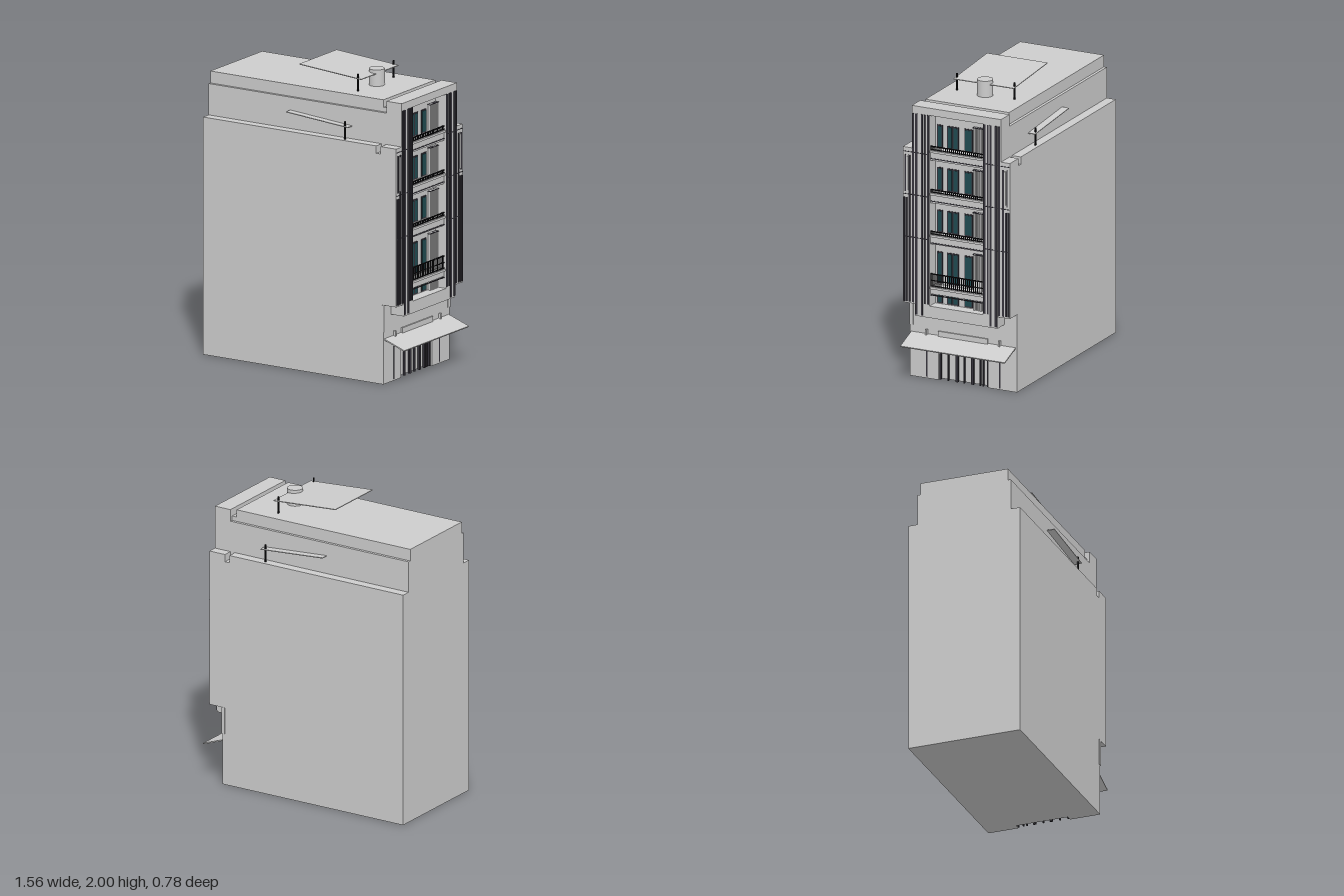
import * as THREE from 'three';

const mat = (name, color) => Object.assign(new THREE.MeshStandardMaterial({ color }), { name });

export function createModel() {
  const concrete = mat('concrete', 0xcccccc);
  const strip = mat('dark strip', 0x35333b);
  const black = mat('black metal', 0x101012);
  const glass = mat('teal glass', 0x1f4a50);
  const model = new THREE.Group();
  model.name = 'building';

  // Box given by its limits on each axis
  const box = (name, m, x0, x1, y0, y1, z0, z1, parent = model) => {
    const mesh = new THREE.Mesh(new THREE.BoxGeometry(x1 - x0, y1 - y0, z1 - z0), m);
    mesh.position.set((x0 + x1) / 2, (y0 + y1) / 2, (z0 + z1) / 2);
    mesh.name = name;
    parent.add(mesh);
    return mesh;
  };
  // The same box on both sides of the centre line
  const pair = (name, m, x0, x1, y0, y1, z0, z1) => {
    box(name, m, x0, x1, y0, y1, z0, z1);
    box(name, m, x0, x1, y0, y1, -z1, -z0);
  };
  // Thin sheet sloping along x between two heights
  const sheet = (name, xa, ya, xb, yb, z0, z1, t = 0.006) => {
    const mesh = box(name, concrete, -Math.hypot(xb - xa, yb - ya) / 2, Math.hypot(xb - xa, yb - ya) / 2, -t / 2, t / 2, z0, z1);
    mesh.position.set((xa + xb) / 2, (ya + yb) / 2, (z0 + z1) / 2);
    mesh.rotation.z = Math.atan2(yb - ya, xb - xa);
  };

  // Main volumes
  box('groundStorey', concrete, -0.78, 0.58, 0, 0.53, -0.39, 0.39);
  box('mainBody', concrete, -0.78, 0.565, 0.53, 1.59, -0.39, 0.39);
  box('jointBody', concrete, 0.565, 0.6, 0.53, 1.54, -0.39, 0.39);
  box('frontBody', concrete, 0.6, 0.64, 0.53, 1.59, -0.39, 0.39);
  box('upperBody', concrete, -0.78, 0.6, 1.54, 1.8, -0.325, 0.325);
  box('upperFront', concrete, 0.6, 0.64, 1.59, 1.88, -0.325, 0.325);
  box('roofCap', concrete, -0.78, 0.565, 1.8, 1.88, -0.305, 0.305);
  box('roofJoint', concrete, 0.565, 0.6, 1.8, 1.83, -0.305, 0.305);
  box('parapet', concrete, 0.64, 0.72, 1.83, 1.88, -0.325, 0.325);

  // Facade piers either side of the balconies
  pair('innerPier', concrete, 0.64, 0.72, 0.53, 1.83, 0.195, 0.325);
  pair('outerPier', concrete, 0.64, 0.72, 0.53, 1.59, 0.325, 0.39);
  box('facadeBase', concrete, 0.62, 0.72, 0.45, 0.53, -0.3, 0.3);
  pair('sideBracket', concrete, 0.6, 0.625, 0.35, 0.53, 0.365, 0.392);

  // Dark vertical strips: centre z, half width, bottom, top
  const strips = [
    [0.205, 0.008, 0.54, 1.83], [0.23, 0.005, 0.54, 1.83], [0.25, 0.007, 0.46, 1.83],
    [0.29, 0.008, 0.46, 1.83], [0.313, 0.006, 0.54, 1.83], [0.342, 0.006, 0.54, 1.54],
    [0.362, 0.005, 0.54, 1.25], [0.38, 0.006, 0.54, 1.25], [0.37, 0.004, 1.29, 1.54],
  ];
  for (const [z, w, y0, y1] of strips) pair('verticalStrip', strip, 0.718, 0.725, y0, y1, z - w, z + w);
  for (const y of [0.98, 1.27, 1.56]) pair('jointLine', strip, 0.718, 0.723, y, y + 0.004, 0.2, 0.388);
  pair('reliefPanel', concrete, 0.72, 0.726, 1.3, 1.53, 0.35, 0.362);

  // Balcony storeys: floor, window bottom, window top, rail top, ceiling
  const storeys = [
    [0.53, 0.535, 0.6, 0, 0.61],
    [0.66, 0.67, 0.885, 0.75, 0.95],
    [1.015, 1.02, 1.17, 1.04, 1.23],
    [1.3, 1.305, 1.46, 1.325, 1.52],
    [1.59, 1.595, 1.75, 1.62, 1.83],
  ];
  storeys.forEach(([floor, wy0, wy1, rail, top], i) => {
    if (i > 0) {
      box('balconySlab', concrete, 0.64, 0.705, storeys[i - 1][4], floor - 0.015, -0.195, 0.195);
      box('slabEdge', concrete, 0.64, 0.715, floor - 0.015, floor, -0.195, 0.195);
      box('slabShadowLine', strip, 0.7, 0.708, floor - 0.06, floor - 0.054, -0.195, 0.195);
    }
    // Windows with dark frames
    for (const [za, zb] of [[0.14, 0.178], [0.022, 0.106], [-0.08, -0.02]]) {
      box('windowFrame', strip, 0.638, 0.645, wy0, wy1, za, zb);
      const panes = zb - za > 0.07 ? 2 : 1;
      const step = (zb - za) / panes;
      for (let p = 0; p < panes; p++) {
        box('windowPane', glass, 0.642, 0.648, wy0 + 0.008, wy1 - 0.008, za + p * step + 0.007, za + (p + 1) * step - 0.007);
      }
    }
    // Louvred screen at one end
    const screenTop = Math.min(top - 0.01, wy1 + 0.025);
    for (let k = 0; k < 6; k++) {
      box('screenSlat', concrete, 0.645, 0.665, floor, screenTop, -0.187 + k * 0.016, -0.177 + k * 0.016);
    }
    box('screenHead', strip, 0.645, 0.668, screenTop - 0.004, screenTop, -0.19, -0.09);
    // Railing with close-set bars
    if (rail) {
      box('handrail', black, 0.7, 0.71, rail - 0.006, rail, -0.195, 0.195);
      box('bottomRail', black, 0.702, 0.708, floor + 0.003, floor + 0.008, -0.195, 0.195);
      if (i === 1) box('midRail', black, 0.702, 0.708, 0.7, 0.706, -0.195, 0.195);
      for (let k = 0; k <= 26; k++) {
        const z = -0.192 + k * 0.01477;
        box('railBar', black, 0.703, 0.707, floor, rail, z - 0.0025, z + 0.0025);
      }
    }
  });

  // Street front with a recessed entrance
  pair('streetWall', concrete, 0.58, 0.62, 0, 0.53, 0.18, 0.39);
  box('entranceLintel', concrete, 0.58, 0.62, 0.23, 0.53, -0.18, 0.18);
  box('signBoard', concrete, 0.62, 0.63, 0.29, 0.335, -0.18, 0.18);
  for (const [z, w] of [[0.175, 0.005], [0.117, 0.004], [0.055, 0.009], [0, 0.004], [-0.06, 0.009], [-0.115, 0.004], [-0.138, 0.004], [-0.173, 0.005]]) {
    box('entrancePost', strip, 0.595, 0.61, 0, 0.23, z - w, z + w);
  }
  box('entranceHead', strip, 0.595, 0.61, 0.215, 0.222, -0.18, 0.18);
  pair('wallStrip', strip, 0.618, 0.623, 0.01, 0.23, 0.262, 0.27);
  sheet('canopy', 0.617, 0.3, 0.775, 0.243, -0.38, 0.38, 0.008);
  pair('canopyBracket', concrete, 0.62, 0.635, 0.28, 0.335, 0.26, 0.272);

  // Roof drum, sloping panels and their posts
  const drum = new THREE.Mesh(new THREE.CylinderGeometry(0.052, 0.052, 0.11, 32), concrete);
  drum.position.set(0.312, 1.935, 0);
  drum.name = 'roofDrum';
  model.add(drum);
  sheet('roofPanel', -0.145, 1.998, 0.335, 1.963, -0.22, 0.22, 0.005);
  pair('roofPost', black, 0.3, 0.309, 1.88, 1.995, 0.205, 0.214);
  for (const s of [1, -1]) {
    sheet('sidePanel', -0.145, 1.712, 0.335, 1.675, Math.min(s * 0.325, s * 0.376), Math.max(s * 0.325, s * 0.376), 0.005);
  }
  pair('sidePost', black, 0.3, 0.309, 1.59, 1.71, 0.357, 0.366);

  return model;
}
